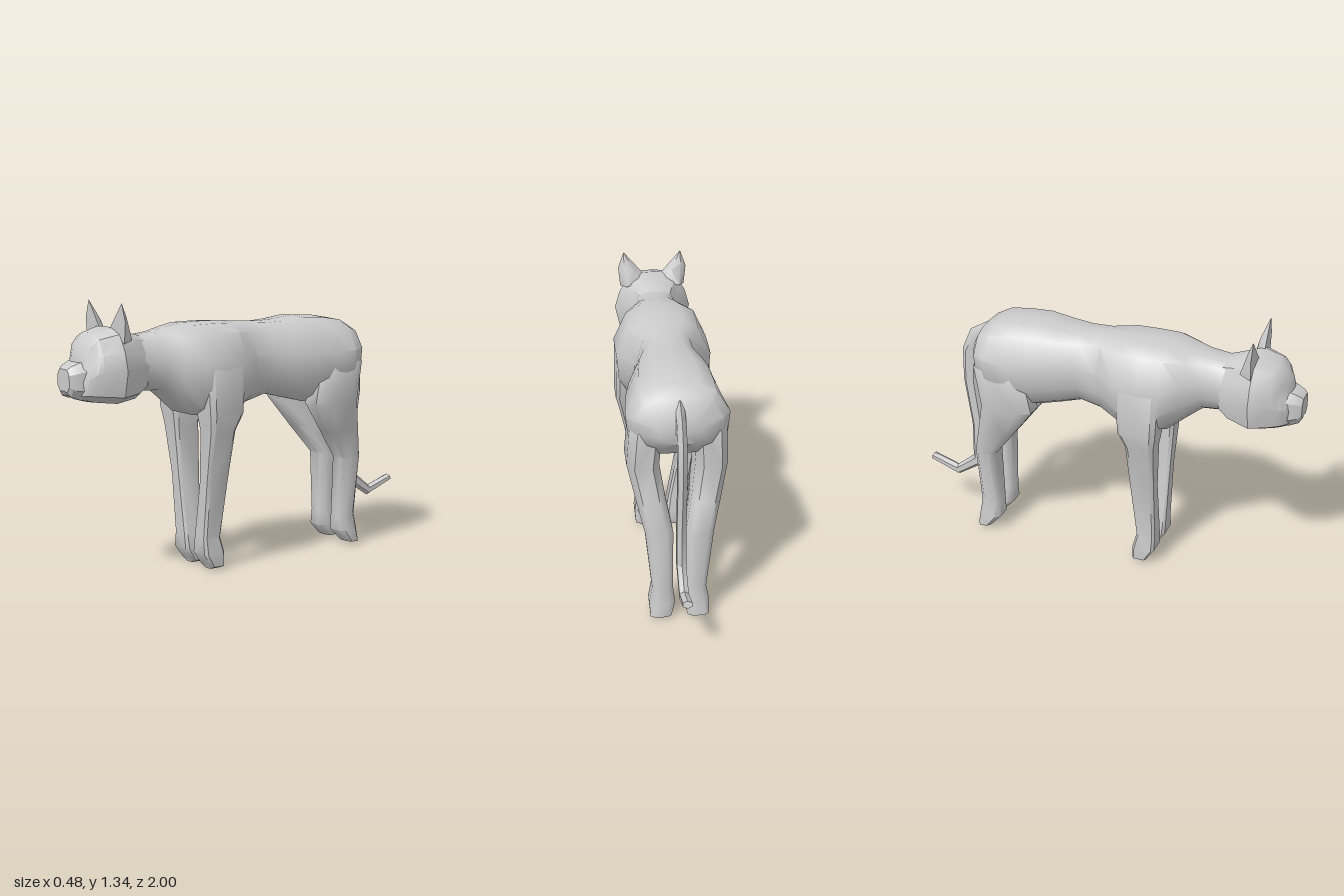
import * as THREE from 'three';
import { toCreasedNormals } from 'three/addons/utils/BufferGeometryUtils.js';
import { ConvexGeometry } from 'three/addons/geometries/ConvexGeometry.js';

const material = new THREE.MeshStandardMaterial({ color: 0xcccccc });

// Skin a list of equal-length rings of [x, y, z], capped at both ends.
function loft(rings, crease) {
  const n = rings[0].length;
  const last = rings.length - 1;
  const points = rings.flat();
  const faces = [];
  for (let r = 0; r < last; r++) {
    for (let i = 0; i < n; i++) {
      const a = r * n + i, b = r * n + (i + 1) % n;
      faces.push([a, b, b + n], [a, b + n, a + n]);
    }
  }
  for (const r of [0, last]) {
    const centre = [0, 1, 2].map((k) => rings[r].reduce((s, p) => s + p[k], 0) / n);
    const c = points.push(centre) - 1;
    for (let i = 0; i < n; i++) {
      const a = r * n + i, b = r * n + (i + 1) % n;
      faces.push(r === 0 ? [c, b, a] : [c, a, b]);
    }
  }
  // Turn the faces outwards if the enclosed volume is negative
  const v = points.map((p) => new THREE.Vector3(...p));
  const volume = faces.reduce((s, [a, b, c]) => s + v[a].dot(v[b].clone().cross(v[c])), 0);
  if (volume < 0) faces.forEach((f) => f.reverse());
  const geometry = new THREE.BufferGeometry().setFromPoints(v);
  geometry.setIndex(faces.flat());
  return toCreasedNormals(geometry, crease);
}

// Full ring from a half profile of [width, height] fractions
function section(profile, [z, top, bottom, halfWidth]) {
  const half = profile.map(([w, h]) => [w * halfWidth, bottom + h * (top - bottom), z]);
  const mirrored = half.slice(1, -1).reverse().map(([x, y]) => [-x, y, z]);
  return [...half, ...mirrored];
}

// Horizontal leg ring with cut corners
function legRing([y, x0, x1, z0, z1], side, cut) {
  const cx = (x1 - x0) * cut, cz = (z1 - z0) * cut;
  return [[x0 + cx, z0], [x1 - cx, z0], [x1, z0 + cz], [x1, z1 - cz],
    [x1 - cx, z1], [x0 + cx, z1], [x0, z1 - cz], [x0, z0 + cz]]
    .map(([x, z]) => [x * side, y, z]);
}

// Push the face in around both eyes
function eyeHollow([x, y, z]) {
  const d = Math.hypot(Math.abs(x) - 0.1, y - 1.07, z - 0.925);
  return [x, y, z - 0.03 * Math.exp(-((d / 0.04) ** 2))];
}

export function createModel() {
  const model = new THREE.Group();
  model.name = 'bigCat';
  const add = (name, geometry) => {
    const mesh = new THREE.Mesh(geometry, material);
    mesh.name = name;
    model.add(mesh);
  };

  // Torso and neck: z, top, bottom, half width
  const bodyProfile = [[0, 1], [0.43, 0.985], [0.73, 0.895], [1, 0.58],
    [0.96, 0.3], [0.72, 0.09], [0.4, 0], [0, 0]];
  const body = [
    [0.76, 1.17, 0.9, 0.12], [0.62, 1.17, 0.912, 0.122], [0.52, 1.183, 0.905, 0.128],
    [0.44, 1.2, 0.845, 0.178], [0.35, 1.215, 0.775, 0.236], [0.24, 1.217, 0.77, 0.237],
    [0.13, 1.215, 0.775, 0.235], [0.01, 1.205, 0.81, 0.156], [-0.1, 1.2, 0.84, 0.165],
    [-0.2, 1.205, 0.815, 0.2], [-0.32, 1.22, 0.785, 0.222], [-0.45, 1.212, 0.79, 0.236],
    [-0.55, 1.195, 0.84, 0.241], [-0.62, 1.16, 0.9, 0.205], [-0.675, 1.07, 0.95, 0.1],
  ];
  add('body', loft(body.map((s) => section(bodyProfile, s)), 0.75));

  // Head
  const headProfile = [[0, 1], [0.35, 0.99], [0.65, 0.92], [0.88, 0.7], [1, 0.46],
    [0.86, 0.12], [0.5, 0.02], [0, 0]];
  const head = [
    [0.61, 1.17, 0.91, 0.12], [0.66, 1.185, 0.873, 0.14], [0.775, 1.22, 0.86, 0.2],
    [0.87, 1.195, 0.872, 0.16], [0.905, 1.16, 0.88, 0.138], [0.93, 1.12, 0.888, 0.115],
    [0.945, 1.075, 0.892, 0.085],
  ];
  add('head', loft(head.map((s) => section(headProfile, s).map(eyeHollow)), 0.6));

  // Muzzle
  const muzzleProfile = [[0, 1], [0.65, 1], [1, 0.75], [1, 0.25], [0.6, 0], [0, 0.05]];
  const muzzle = [[0.88, 1.08, 0.885, 0.1], [0.945, 1.065, 0.893, 0.085],
    [0.985, 1.048, 0.908, 0.068], [1, 1.035, 0.93, 0.055]];
  add('muzzle', loft(muzzle.map((s) => section(muzzleProfile, s)), 0.4));

  // Legs, top to bottom: y, inner x, outer x, back z, front z
  const frontLeg = [
    [1.1, 0.1, 0.18, 0.14, 0.33], [1.02, 0.09, 0.234, 0.125, 0.345], [0.78, 0.09, 0.24, 0.145, 0.335],
    [0.7, 0.1, 0.22, 0.18, 0.322], [0.45, 0.085, 0.165, 0.19, 0.312], [0.16, 0.035, 0.135, 0.215, 0.312],
    [0.08, 0.02, 0.147, 0.195, 0.312], [0.015, 0.025, 0.142, 0.195, 0.268], [0, 0.055, 0.105, 0.2, 0.262],
  ];
  const hindLeg = [
    [1.08, 0.05, 0.17, -0.59, -0.44], [0.98, 0.07, 0.226, -0.63, -0.37], [0.78, 0.085, 0.238, -0.59, -0.32],
    [0.62, 0.06, 0.2, -0.63, -0.44], [0.47, 0.03, 0.162, -0.67, -0.555], [0.16, 0.03, 0.13, -0.658, -0.55],
    [0.08, 0.02, 0.145, -0.67, -0.55], [0.015, 0.04, 0.14, -0.68, -0.61],
  ];
  // Ear corners for the left side
  const ear = [[0.045, 1.21, 0.78], [0.15, 1.335, 0.775], [0.18, 1.25, 0.775], [0.17, 1.15, 0.775],
    [0.06, 1.18, 0.735], [0.14, 1.16, 0.715], [0.15, 1.27, 0.75], [0.1, 1.24, 0.74]];
  for (const [label, side] of [['left', 1], ['right', -1]]) {
    add(label + 'FrontLeg', loft(frontLeg.map((r) => legRing(r, side, 0.12)), 0.6));
    add(label + 'HindLeg', loft(hindLeg.map((r) => legRing(r, side, 0.22)), 0.9));
    const corners = ear.map(([x, y, z]) => new THREE.Vector3(x * side, y, z));
    add(label + 'Ear', toCreasedNormals(new ConvexGeometry(corners), 0.8));
  }

  // Tail, root to tip: y, z, half thickness
  const tail = [[1.11, -0.6, 0.05], [1.045, -0.685, 0.065], [0.96, -0.735, 0.05], [0.8, -0.744, 0.042],
    [0.55, -0.712, 0.038], [0.335, -0.717, 0.039], [0.245, -0.845, 0.028], [0.298, -0.993, 0.018]];
  const tailRings = tail.map(([y, z, r], i) => {
    const a = tail[Math.max(i - 1, 0)], b = tail[Math.min(i + 1, tail.length - 1)];
    const across = new THREE.Vector2(b[1] - a[1], a[0] - b[0]).normalize();
    return Array.from({ length: 6 }, (_, k) => {
      const angle = (k + 0.5) * Math.PI / 3, s = Math.sin(angle) * r;
      return [Math.cos(angle) * 0.025, y + across.x * s, z + across.y * s];
    });
  });
  add('tail', loft(tailRings, 0.7));

  return model;
}
